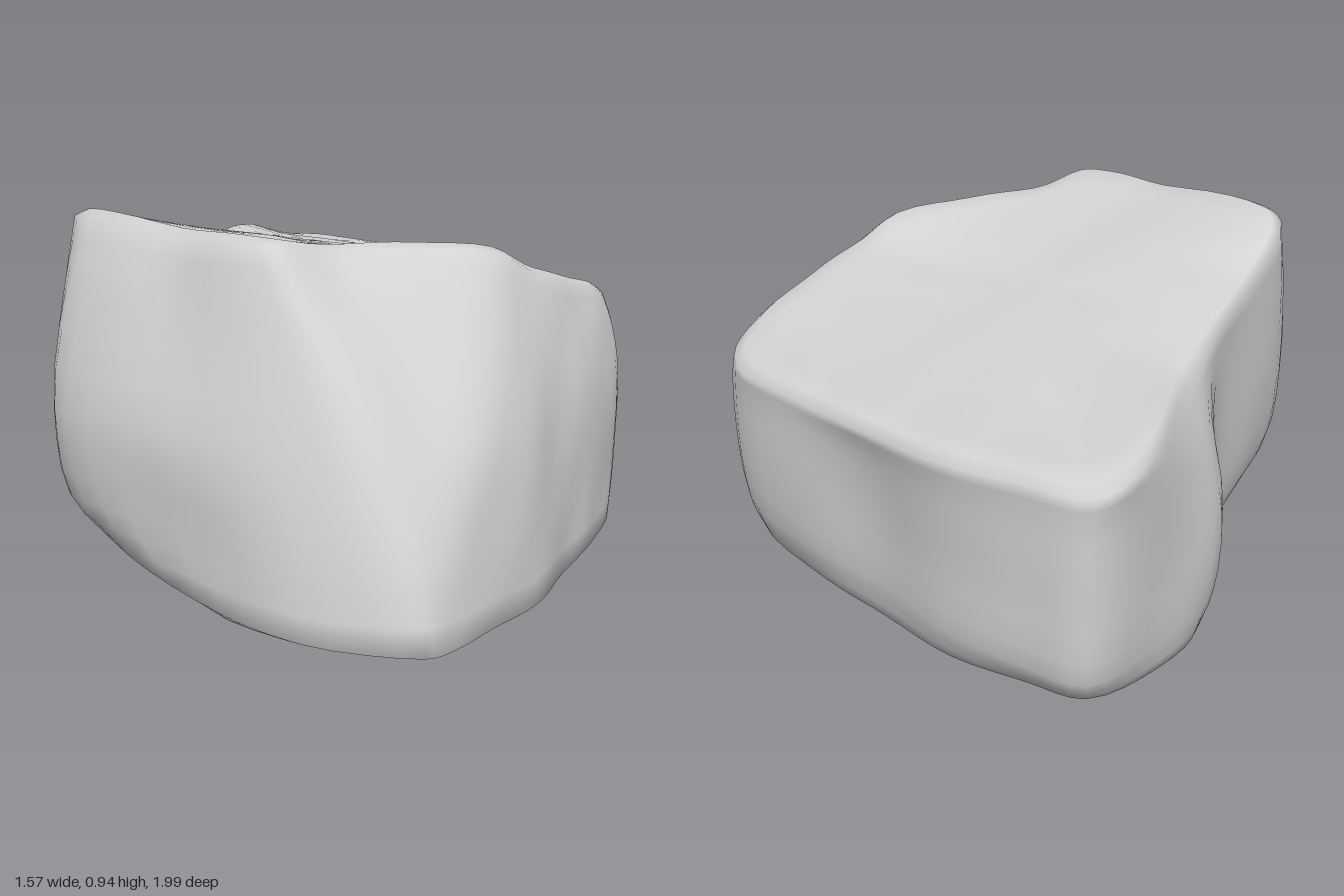
import * as THREE from 'three';
import { mergeVertices } from 'three/addons/utils/BufferGeometryUtils.js';

// Corner loops, counter-clockwise from the front tip.
const TOP = [ // x, y, z
  [-.26, .905, .59], [-.1, .885, .51], [.1, .88, .46], [.32, .865, .42], [.46, .79, .34], [.61, .745, .21], [.73, .705, .05],
  [.755, .685, -.13], [.62, .7, -.34], [.47, .72, -.54], [.29, .75, -.77], [.12, .77, -.91], [-.03, .77, -.995], [-.14, .805, -.95],
  [-.3, .805, -.62], [-.43, .83, -.4], [-.6, .87, -.15], [-.71, .935, .05], [-.67, .95, .16], [-.48, .92, .39], [-.34, .91, .54],
];
const MID = [ // x, z
  [-.11, .84], [.05, .81], [.19, .76], [.32, .65], [.46, .49], [.63, .3], [.77, .1],
  [.775, -.08], [.62, -.32], [.43, -.51], [.28, -.73], [.11, -.89], [-.03, -.975], [-.23, -.83],
  [-.405, -.65], [-.44, -.4], [-.63, -.13], [-.76, .07], [-.78, .21], [-.57, .49], [-.3, .74],
];
const BOTTOM = [ // x, z
  [0, 1], [.08, .96], [.2, .85], [.35, .71], [.46, .55], [.6, .38], [.72, .18],
  [.74, .01], [.57, -.27], [.41, -.46], [.26, -.67], [.09, -.81], [-.04, -.9], [-.24, -.79],
  [-.37, -.63], [-.41, -.35], [-.54, -.1], [-.65, .11], [-.64, .28], [-.46, .6], [-.25, .87],
];
const SIDES = TOP.length * 4;

// Smooth closed loop through corner points
function loop(points) {
  const curve = new THREE.CatmullRomCurve3(points, true);
  return Array.from({ length: SIDES }, (_, i) => curve.getPoint(i / SIDES));
}

// Underside rises toward the back and at the side corners; the top slopes down to the left and back
const bottomY = (x, z) => 0.032 + 0.12 * Math.max(0, -z - 0.05) + 0.3 * Math.max(0, -x - 0.4) + 0.15 * Math.max(0, x - 0.4);
const topY = (x, z) => 0.825 - 0.145 * x + 0.06 * z;

// Gentle weathering
const bump = (p) => 0.004 * (Math.sin(9 * p.x + 5 * p.y) * Math.cos(8 * p.z - 4 * p.x)
  + 0.7 * Math.sin(17 * p.z + 13 * p.y) * Math.sin(15 * p.x - 6 * p.y));

function createRockGeometry() {
  const top = loop(TOP.map((p) => new THREE.Vector3(...p)));
  const mid = loop(MID.map(([x, z]) => new THREE.Vector3(x, 0.45, z)));
  const bottom = loop(BOTTOM.map(([x, z]) => new THREE.Vector3(x, bottomY(x, z), z)));
  const topCentre = new THREE.Vector3(0, 0, -0.1);
  const bottomCentre = new THREE.Vector3(0, 0, 0.1);

  // Wall columns, each a spline from the bottom edge to the top edge
  const walls = top.map((t, i) => {
    const b = bottom[i], m = mid[i];
    const undercut = Math.hypot(m.x, m.z) > Math.hypot(b.x, b.z);
    const low = b.clone().lerp(m, undercut ? 0.75 : 0.3).setY(0.22);
    const high = m.clone().lerp(t, undercut ? 0.45 : 0.6);
    high.y = 0.45 + (t.y - 0.45) * 0.6;
    const edge = t.clone().setY(t.y - 0.02);
    return new THREE.CatmullRomCurve3([b, low, m, high, edge]);
  });

  // Rings: underside outward, up the wall, then inward over the top
  const rings = [];
  for (const s of [0, 0.3, 0.6, 0.85, 0.95]) {
    rings.push(bottom.map((b) => {
      const p = bottomCentre.clone().lerp(b, s);
      return p.setY(bottomY(p.x, p.z) - 0.015 - 0.012 * (1 - s * s));
    }));
  }
  for (let k = 0; k <= 12; k++) rings.push(walls.map((w) => w.getPoint(k / 12)));
  for (const s of [0.96, 0.87, 0.75, 0.6, 0.45, 0.3, 0.15, 0]) {
    rings.push(top.map((t) => {
      const p = topCentre.clone().lerp(t, s);
      return p.setY(topY(p.x, p.z) + (t.y - topY(t.x, t.z)) * s ** 3);
    }));
  }

  const positions = [], index = [], last = rings.length - 1;
  rings.forEach((ring, r) => ring.forEach((p, c) => {
    const n = bump(p), out = Math.hypot(p.x, p.z) || 1;
    positions.push(p.x + n * p.x / out, Math.max(0, p.y + n), p.z + n * p.z / out);
    if (r === last) return;
    const a = r * SIDES + c, b = r * SIDES + (c + 1) % SIDES;
    if (r > 0) index.push(a, b, b + SIDES);
    if (r < last - 1) index.push(a, b + SIDES, a + SIDES);
  }));
  const geometry = new THREE.BufferGeometry();
  geometry.setAttribute('position', new THREE.Float32BufferAttribute(positions, 3));
  geometry.setIndex(index);
  const welded = mergeVertices(geometry);
  welded.computeVertexNormals();
  return welded;
}

export function createModel() {
  const group = new THREE.Group();
  group.name = 'boulder';
  const stone = new THREE.MeshStandardMaterial({ color: 0xd4d4d4 });
  stone.name = 'stone grey';
  const rock = new THREE.Mesh(createRockGeometry(), stone);
  rock.name = 'rock';
  group.add(rock);
  return group;
}
